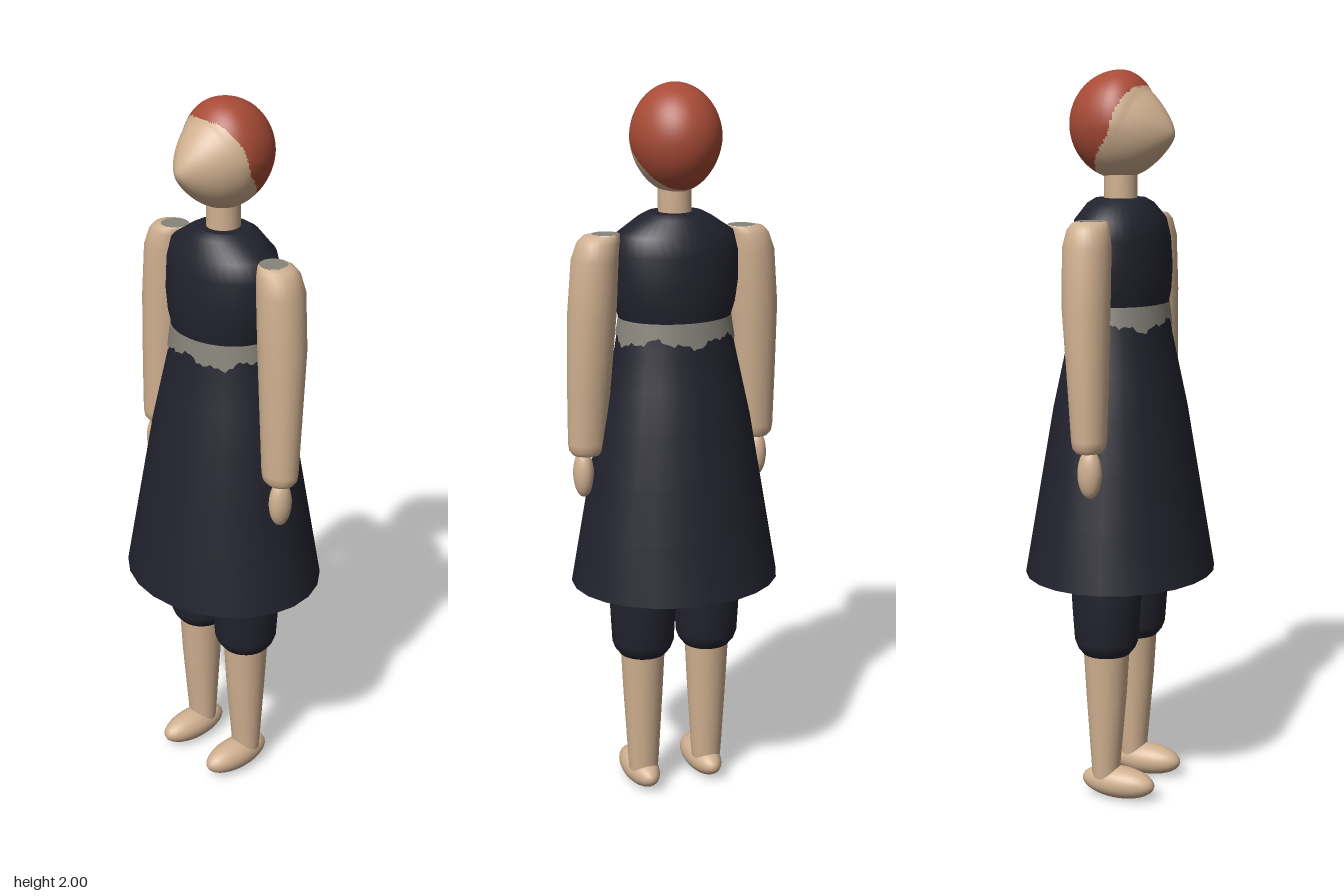
import * as THREE from 'three';

const mat = (name, color, side = THREE.FrontSide) => {
  const m = new THREE.MeshStandardMaterial({ color, side });
  m.name = name;
  return m;
};

// Smooth tube through elliptical rings [y, cx, cz, rx, rz], listed from top to bottom
function loft(rings, seg, capTop = false, capBottom = false) {
  const pos = [], idx = [];
  const addRing = ([y, cx, cz, rx, rz]) => {
    for (let j = 0; j < seg; j++) {
      const a = (j / seg) * Math.PI * 2;
      pos.push(cx + rx * Math.cos(a), y, cz + rz * Math.sin(a));
    }
  };
  rings.forEach(addRing);
  for (let i = 0; i < rings.length - 1; i++) {
    for (let j = 0; j < seg; j++) {
      const k = (j + 1) % seg;
      const a = i * seg + j, b = i * seg + k;
      idx.push(a, b, a + seg, b, b + seg, a + seg);
    }
  }
  const cap = (ring, up) => {
    const start = pos.length / 3;
    addRing(ring);
    pos.push(ring[1], ring[0], ring[2]);
    for (let j = 0; j < seg; j++) {
      const a = start + j, b = start + ((j + 1) % seg), c = start + seg;
      idx.push(c, ...(up ? [b, a] : [a, b]));
    }
  };
  if (capTop) cap(rings[0], true);
  if (capBottom) cap(rings[rings.length - 1], false);
  const g = new THREE.BufferGeometry();
  g.setAttribute('position', new THREE.Float32BufferAttribute(pos, 3));
  g.setIndex(idx);
  g.computeVertexNormals();
  return g;
}

// Piecewise linear lookup in points [key, value], keys ascending
function lerpTable(t, points) {
  for (let i = 1; i < points.length; i++) {
    const [k0, v0] = points[i - 1], [k1, v1] = points[i];
    if (t <= k1) return v0 + (v1 - v0) * Math.max(0, (t - k0) / (k1 - k0));
  }
  return points[points.length - 1][1];
}

// Egg head with a face drawn out to a soft point; group 0 is skin, group 1 is hair
function headGeometry() {
  const g = new THREE.SphereGeometry(1, 96, 64);
  const p = g.attributes.position;
  for (let i = 0; i < p.count; i++) {
    const nx = p.getX(i), ny = p.getY(i), nz = p.getZ(i);
    const x = nx * 0.122 * (ny < 0 ? 1 + 0.1 * ny : 1);
    const y = 1.857 + ny * 0.143;
    let z = nz * 0.14;
    if (nz > 0) {
      const d = Math.hypot(x / 0.11, (y - 1.83) / 0.12, 0.12);
      z = nz * 0.1 + 0.063 * Math.max(0, 1 - d) * Math.min(1, nz * 2);
    }
    p.setXYZ(i, x, y, z);
  }
  g.computeVertexNormals();
  const hairline = [[1.71, -0.07], [1.78, -0.03], [1.83, 0.012], [1.9, 0.03], [1.955, 0.06], [1.965, 0.12]];
  const parts = [[], []];
  const ix = g.index.array;
  for (let t = 0; t < ix.length; t += 3) {
    const f = [ix[t], ix[t + 1], ix[t + 2]];
    const y = (p.getY(f[0]) + p.getY(f[1]) + p.getY(f[2])) / 3;
    const z = (p.getZ(f[0]) + p.getZ(f[1]) + p.getZ(f[2])) / 3;
    parts[z < lerpTable(y, hairline) ? 1 : 0].push(...f);
  }
  g.setIndex([...parts[0], ...parts[1]]);
  g.addGroup(0, parts[0].length, 0);
  g.addGroup(parts[0].length, parts[1].length, 1);
  return g;
}

export function createModel() {
  const root = new THREE.Group();
  root.name = 'figure';
  const skin = mat('skin', 0xd0b090);
  const hair = mat('hair', 0xa84b36);
  const cloth = mat('navy cloth', 0x22222e, THREE.DoubleSide);
  const trim = mat('grey trim', 0x86847a, THREE.DoubleSide);
  const hemLining = mat('hem lining', 0xcfaf8f, THREE.DoubleSide);

  const add = (name, geometry, material, parent = root) => {
    const m = new THREE.Mesh(geometry, material);
    m.name = name;
    parent.add(m);
    return m;
  };
  const ellipsoid = (name, c, r, parent) => {
    const m = add(name, new THREE.SphereGeometry(1, 28, 20), skin, parent);
    m.position.set(...c);
    m.scale.set(...r);
  };

  // Head and neck
  add('head', headGeometry(), [skin, hair]);
  add('neck', loft([[1.75, 0, 0, 0.045, 0.045], [1.65, 0, 0, 0.045, 0.045]], 24), skin);

  // Bodice
  add('bodice', loft([
    [1.665, 0, 0, 0.075, 0.067], [1.652, 0, 0, 0.1, 0.088], [1.61, 0, 0, 0.163, 0.115],
    [1.56, 0, 0, 0.175, 0.127], [1.48, 0, 0, 0.176, 0.133], [1.42, 0, 0, 0.167, 0.131],
    [1.38, 0, 0, 0.154, 0.125],
  ], 40, true), cloth);

  // Flared skirt
  const skirtX = [[0.64, 0.293], [1.1, 0.212], [1.3, 0.167], [1.385, 0.153]];
  const skirtZ = [[0.64, 0.257], [1.1, 0.178], [1.3, 0.135], [1.385, 0.125]];
  const skirtRing = (y, grow = 0) => [y, 0, 0, lerpTable(y, skirtX) + grow, lerpTable(y, skirtZ) + grow];
  add('skirt', loft([1.385, 1.3, 1.2, 1.1, 0.95, 0.8, 0.64].map((y) => skirtRing(y)), 24), cloth);

  // Waistband with a ragged lower edge
  const seg = 96;
  const band = loft([skirtRing(1.387, 0.003), skirtRing(1.33, 0.003)], seg);
  const bp = band.attributes.position;
  for (let j = 0; j < seg; j++) {
    const a = (j / seg) * Math.PI * 2;
    const y = 1.332 + 0.01 * Math.sin(a * 5) + 0.006 * Math.sin(a * 13 + 1) + 0.004 * Math.sin(a * 37);
    const [, , , rx, rz] = skirtRing(y, 0.003);
    bp.setXYZ(seg + j, rx * Math.cos(a), y, rz * Math.sin(a));
  }
  band.computeVertexNormals();
  add('waistband', band, trim);

  // Lining strip inside the hem
  add('hemLining', loft([skirtRing(0.695, -0.004), skirtRing(0.641, -0.004)], 24), hemLining);

  // Limbs, one set per side
  for (const s of [1, -1]) {
    const side = s > 0 ? 'left' : 'right';

    const arm = new THREE.Group();
    arm.name = side + 'Arm';
    root.add(arm);
    add(side + 'Sleeve', loft([
      [1.616, s * 0.195, 0.002, 0.037, 0.037], [1.612, s * 0.206, 0.003, 0.05, 0.046],
      [1.595, s * 0.215, 0.003, 0.057, 0.056], [1.55, s * 0.225, 0.003, 0.063, 0.064],
      [1.4, s * 0.235, 0.005, 0.066, 0.063], [1.2, s * 0.243, 0.013, 0.059, 0.053],
      [1.05, s * 0.248, 0.018, 0.053, 0.046], [1.03, s * 0.248, 0.018, 0.05, 0.043],
      [1.018, s * 0.248, 0.018, 0.04, 0.034],
    ], 28, false, true), skin, arm);
    const disc = add(side + 'ShoulderCap', new THREE.CircleGeometry(0.037, 28), trim, arm);
    disc.rotation.x = -Math.PI / 2;
    disc.position.set(s * 0.195, 1.6165, 0.002);
    ellipsoid(side + 'Hand', [s * 0.258, 0.962, 0.024], [0.028, 0.067, 0.033], arm);

    const leg = new THREE.Group();
    leg.name = side + 'Leg';
    root.add(leg);
    add(side + 'Breeches', loft([
      [0.95, s * 0.088, 0, 0.095, 0.105], [0.64, s * 0.097, 0, 0.095, 0.1],
      [0.54, s * 0.097, 0, 0.091, 0.094], [0.46, s * 0.097, 0, 0.087, 0.088],
      [0.44, s * 0.097, 0, 0.08, 0.08], [0.422, s * 0.097, 0, 0.066, 0.066],
    ], 28, true, true), cloth, leg);
    add(side + 'Shin', loft([
      [0.45, s * 0.098, 0, 0.063, 0.065], [0.3, s * 0.098, 0, 0.056, 0.056],
      [0.1, s * 0.098, -0.002, 0.045, 0.04], [0.06, s * 0.098, -0.002, 0.042, 0.038],
    ], 28, false, true), skin, leg);
    ellipsoid(side + 'Foot', [s * 0.097, 0.045, 0.035], [0.048, 0.045, 0.108], leg);
  }
  return root;
}
